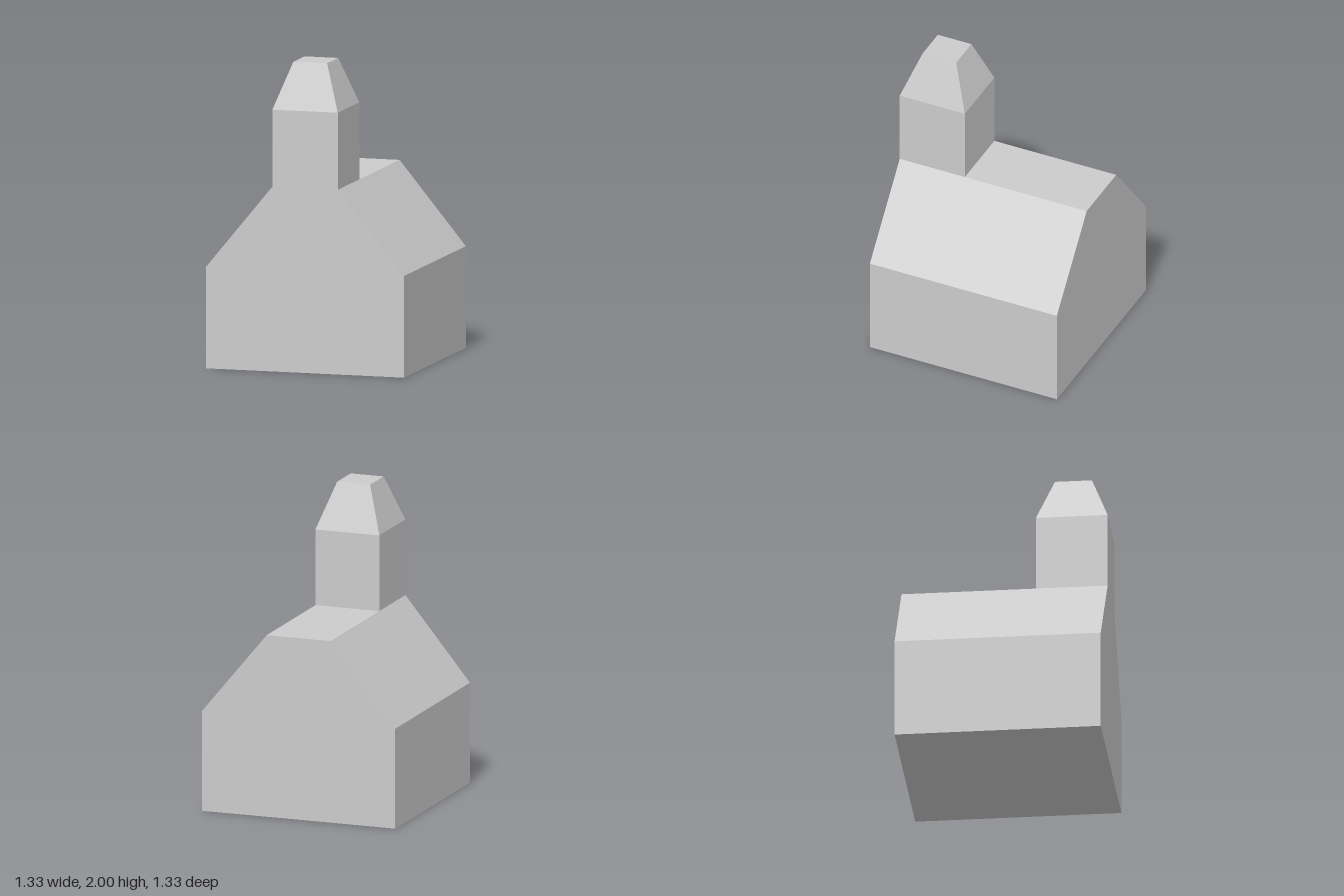
import * as THREE from 'three';

const material = new THREE.MeshStandardMaterial({ color: 0xcccccc, flatShading: true });

function part(name, geometry) {
  geometry.computeVertexNormals();
  const mesh = new THREE.Mesh(geometry, material);
  mesh.name = name;
  return mesh;
}

// Box standing on its base, with its top face scaled to taper
function taperedBox(width, height, depth, scaleX = 1, scaleZ = 1) {
  const geometry = new THREE.BoxGeometry(width, height, depth).translate(0, height / 2, 0);
  const p = geometry.attributes.position;
  for (let i = 0; i < p.count; i++) {
    if (p.getY(i) > height / 2) {
      p.setX(i, p.getX(i) * scaleX);
      p.setZ(i, p.getZ(i) * scaleZ);
    }
  }
  return geometry;
}

export function createModel() {
  const group = new THREE.Group();
  group.name = 'towerHouse';

  const half = 0.665, towerHalf = 0.22, eaves = 0.66, ridge = 1.2;
  const towerDepth = 0.463, towerZ = half - towerDepth / 2;

  // House: gable profile with a flat ridge, run from back to front
  const gable = new THREE.Shape([
    [-half, 0], [half, 0], [half, eaves], [towerHalf, ridge], [-towerHalf, ridge], [-half, eaves],
  ].map(([x, y]) => new THREE.Vector2(x, y)));
  const house = new THREE.ExtrudeGeometry(gable, { depth: half * 2, bevelEnabled: false });
  group.add(part('house', house.translate(0, 0, -half)));

  // Square tower flush with the front wall
  const tower = part('tower', taperedBox(towerHalf * 2, 0.5, towerDepth));
  tower.position.set(0, ridge, towerZ);
  group.add(tower);

  // Tapered tower roof with a flat top
  const roof = part('towerRoof', taperedBox(towerHalf * 2, 0.3, towerDepth, 0.515, 0.515));
  roof.position.set(0, 1.7, towerZ);
  group.add(roof);

  return group;
}
